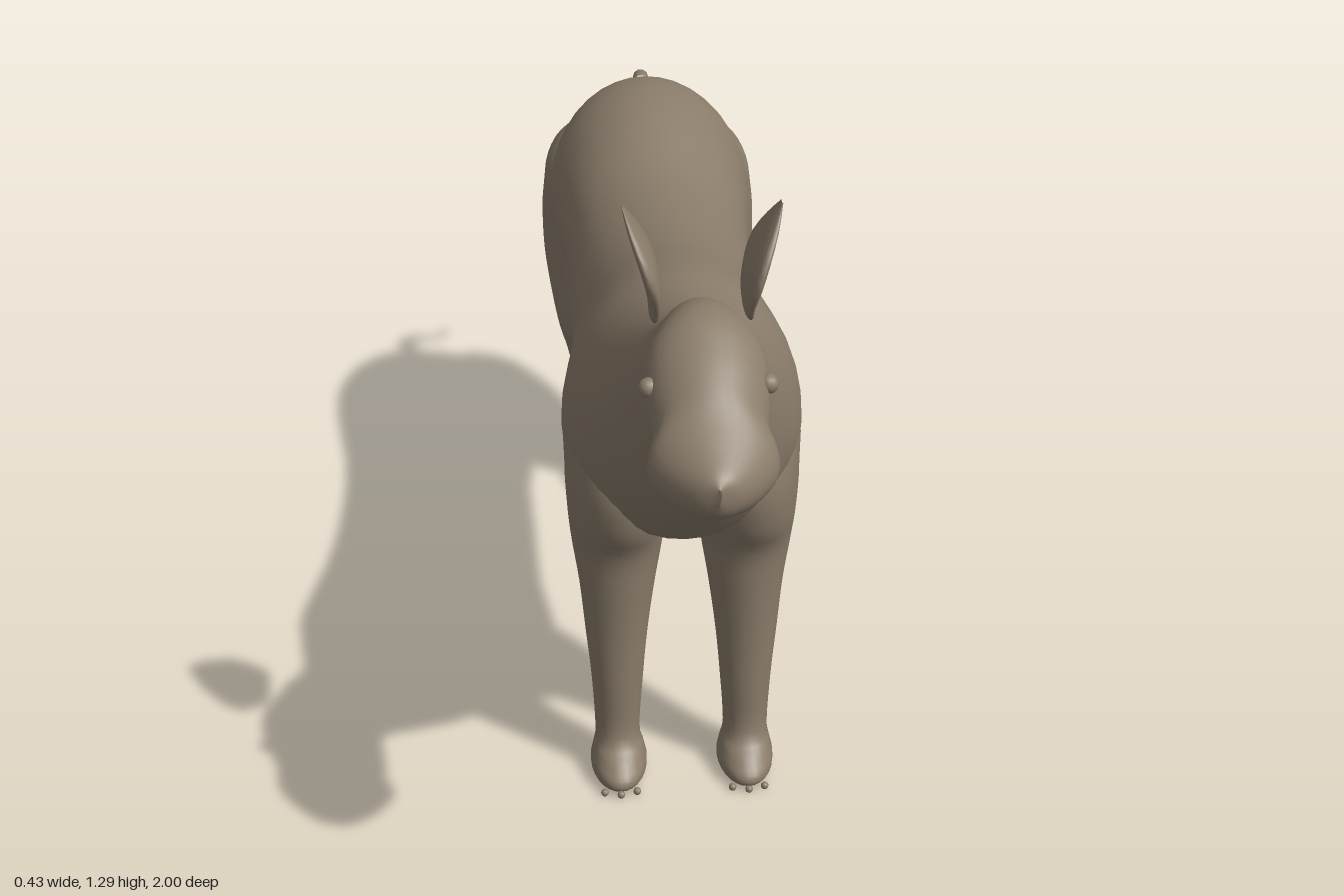
import * as THREE from 'three';

const fur = new THREE.MeshStandardMaterial({ color: 0x8b7d6b });
fur.name = 'fur';

// Smooth skin over elliptical rings. Each section is [x, y, z, halfWidth, r1, r2]:
// upright rings run along +z (r1 up, r2 down), flat rings run downward (r1 front, r2 back).
function loft(name, sections, { flat = false, around = 28, steps = 4 } = {}) {
  const curve = (o) => new THREE.CatmullRomCurve3(
    sections.map((s) => new THREE.Vector3(s[o], s[o + 1], s[o + 2])), false, 'catmullrom', 0.5);
  const path = curve(0), size = curve(3);
  const rings = (sections.length - 1) * steps;
  const pos = [], index = [];
  for (let i = 0; i <= rings; i++) {
    const c = path.getPoint(i / rings), r = size.getPoint(i / rings);
    for (let j = 0; j < around; j++) {
      const a = (j / around) * Math.PI * 2, s = Math.sin(a);
      const d = s * Math.max(s > 0 ? r.y : r.z, 0.0005);
      const x = c.x + Math.cos(a) * Math.max(r.x, 0.0005);
      if (flat) pos.push(x, c.y, c.z + d);
      else pos.push(x, c.y + d, c.z);
      if (i === rings) continue;
      const k = (j + 1) % around, p = i * around, q = p + around;
      index.push(p + j, p + k, q + j, p + k, q + k, q + j);
    }
  }
  const geo = new THREE.BufferGeometry();
  geo.setAttribute('position', new THREE.Float32BufferAttribute(pos, 3));
  geo.setIndex(index);
  geo.computeVertexNormals();
  const mesh = new THREE.Mesh(geo, fur);
  mesh.name = name;
  return mesh;
}

function ball(name, r, x, y, z) {
  const mesh = new THREE.Mesh(new THREE.SphereGeometry(r, 12, 8), fur);
  mesh.name = name;
  mesh.position.set(x, y, z);
  return mesh;
}

// Trunk, neck and head from rump to nose
const BODY = [
  [0, 0.76, -0.835, 0.005, 0.005, 0.005],
  [0, 0.75, -0.825, 0.09, 0.10, 0.09],
  [0, 0.74, -0.78, 0.145, 0.16, 0.14],
  [0, 0.73, -0.70, 0.185, 0.205, 0.16],
  [0, 0.72, -0.60, 0.203, 0.23, 0.16],
  [0, 0.72, -0.48, 0.195, 0.222, 0.15],
  [0, 0.73, -0.30, 0.176, 0.17, 0.155],
  [0, 0.73, -0.10, 0.174, 0.18, 0.18],
  [0, 0.73, 0.08, 0.177, 0.213, 0.20],
  [0, 0.72, 0.22, 0.193, 0.262, 0.21],
  [0, 0.72, 0.32, 0.203, 0.285, 0.21],
  [0, 0.75, 0.41, 0.180, 0.267, 0.21],
  [0, 0.82, 0.49, 0.140, 0.213, 0.21],
  [0, 0.90, 0.56, 0.100, 0.157, 0.215],
  [0, 0.97, 0.63, 0.080, 0.14, 0.19],
  [0, 1.03, 0.70, 0.080, 0.115, 0.15],
  [0, 1.06, 0.76, 0.090, 0.09, 0.13],
  [0, 1.04, 0.82, 0.089, 0.085, 0.118],
  [0, 1.01, 0.87, 0.083, 0.085, 0.09],
  [0, 0.985, 0.91, 0.094, 0.08, 0.064],
  [0, 0.98, 0.95, 0.070, 0.06, 0.053],
  [0, 0.985, 0.985, 0.035, 0.035, 0.035],
  [0, 0.995, 1.0, 0.003, 0.01, 0.015],
];

// Legs from inside the trunk down to the sole
const frontLegSections = (s) => [
  [s * 0.095, 0.86, 0.31, 0.02, 0.03, 0.03],
  [s * 0.105, 0.76, 0.315, 0.088, 0.10, 0.10],
  [s * 0.112, 0.65, 0.32, 0.088, 0.125, 0.12],
  [s * 0.112, 0.56, 0.32, 0.085, 0.11, 0.11],
  [s * 0.112, 0.49, 0.315, 0.079, 0.08, 0.085],
  [s * 0.113, 0.40, 0.315, 0.066, 0.068, 0.067],
  [s * 0.115, 0.30, 0.32, 0.055, 0.055, 0.056],
  [s * 0.115, 0.20, 0.325, 0.046, 0.046, 0.046],
  [s * 0.116, 0.09, 0.325, 0.040, 0.044, 0.043],
  [s * 0.115, 0.055, 0.33, 0.046, 0.072, 0.047],
  [s * 0.115, 0.03, 0.335, 0.051, 0.092, 0.053],
  [s * 0.115, 0.01, 0.335, 0.044, 0.08, 0.05],
  [s * 0.115, 0.004, 0.335, 0.001, 0.001, 0.001],
];
const hindLegSections = (s) => [
  [s * 0.085, 0.88, -0.65, 0.02, 0.03, 0.03],
  [s * 0.095, 0.80, -0.65, 0.098, 0.13, 0.175],
  [s * 0.106, 0.72, -0.64, 0.107, 0.17, 0.217],
  [s * 0.110, 0.65, -0.63, 0.106, 0.175, 0.20],
  [s * 0.112, 0.58, -0.61, 0.100, 0.165, 0.165],
  [s * 0.112, 0.50, -0.56, 0.086, 0.117, 0.11],
  [s * 0.112, 0.45, -0.56, 0.076, 0.106, 0.09],
  [s * 0.112, 0.39, -0.59, 0.063, 0.085, 0.08],
  [s * 0.113, 0.30, -0.67, 0.051, 0.07, 0.067],
  [s * 0.114, 0.21, -0.73, 0.043, 0.05, 0.05],
  [s * 0.115, 0.12, -0.705, 0.039, 0.046, 0.045],
  [s * 0.115, 0.075, -0.69, 0.042, 0.052, 0.045],
  [s * 0.115, 0.052, -0.68, 0.047, 0.08, 0.048],
  [s * 0.115, 0.03, -0.67, 0.051, 0.092, 0.054],
  [s * 0.115, 0.01, -0.67, 0.044, 0.08, 0.05],
  [s * 0.115, 0.004, -0.67, 0.001, 0.001, 0.001],
];

// Thin upright ear leaning outward, tip first
const earSections = (s) => [
  [s * 0.115, 1.29, 0.685, 0.001, 0.008, 0.008],
  [s * 0.102, 1.26, 0.688, 0.008, 0.045, 0.04],
  [s * 0.085, 1.22, 0.69, 0.013, 0.073, 0.068],
  [s * 0.074, 1.18, 0.69, 0.013, 0.075, 0.073],
  [s * 0.069, 1.14, 0.685, 0.010, 0.052, 0.07],
  [s * 0.070, 1.115, 0.68, 0.007, 0.035, 0.055],
  [s * 0.070, 1.112, 0.68, 0.001, 0.005, 0.005],
];

// Tapered tail tube with a flat root
function makeTail() {
  const path = new THREE.CatmullRomCurve3([
    [0.872, -0.825], [0.872, -0.862], [0.815, -0.905], [0.745, -0.95], [0.728, -0.975], [0.732, -0.998],
  ].map(([y, z]) => new THREE.Vector3(0, y, z)));
  const rings = 24, sides = 10;
  const geo = new THREE.TubeGeometry(path, rings, 0.018, sides);
  const pos = geo.attributes.position, v = new THREE.Vector3();
  for (let i = 0; i < pos.count; i++) {
    const t = Math.floor(i / (sides + 1)) / rings, c = path.getPointAt(t);
    v.fromBufferAttribute(pos, i).sub(c).multiplyScalar(1 - 0.8 * t).add(c);
    pos.setXYZ(i, v.x, v.y, v.z);
  }
  geo.computeVertexNormals();
  const tail = new THREE.Mesh(geo, fur);
  tail.name = 'tail';
  return tail;
}

export function createModel() {
  const model = new THREE.Group();
  model.name = 'animal';
  model.add(loft('body', BODY, { around: 36 }), makeTail());

  for (const [side, s] of [['left', 1], ['right', -1]]) {
    model.add(
      loft(`${side}FrontLeg`, frontLegSections(s), { flat: true }),
      loft(`${side}HindLeg`, hindLegSections(s), { flat: true }),
      loft(`${side}Ear`, earSections(s), { flat: true, around: 12, steps: 2 }),
      ball(`${side}Eye`, 0.015, s * 0.086, 1.065, 0.815),
    );
    // Three small claws ahead of each foot
    for (const [foot, z] of [['Front', 0.428], ['Hind', -0.574]]) {
      for (const k of [-1, 0, 1]) {
        model.add(ball(`${side}${foot}Claw`, 0.007, s * 0.115 + k * 0.029, 0.011, z - Math.abs(k) * 0.008));
      }
    }
  }
  return model;
}
